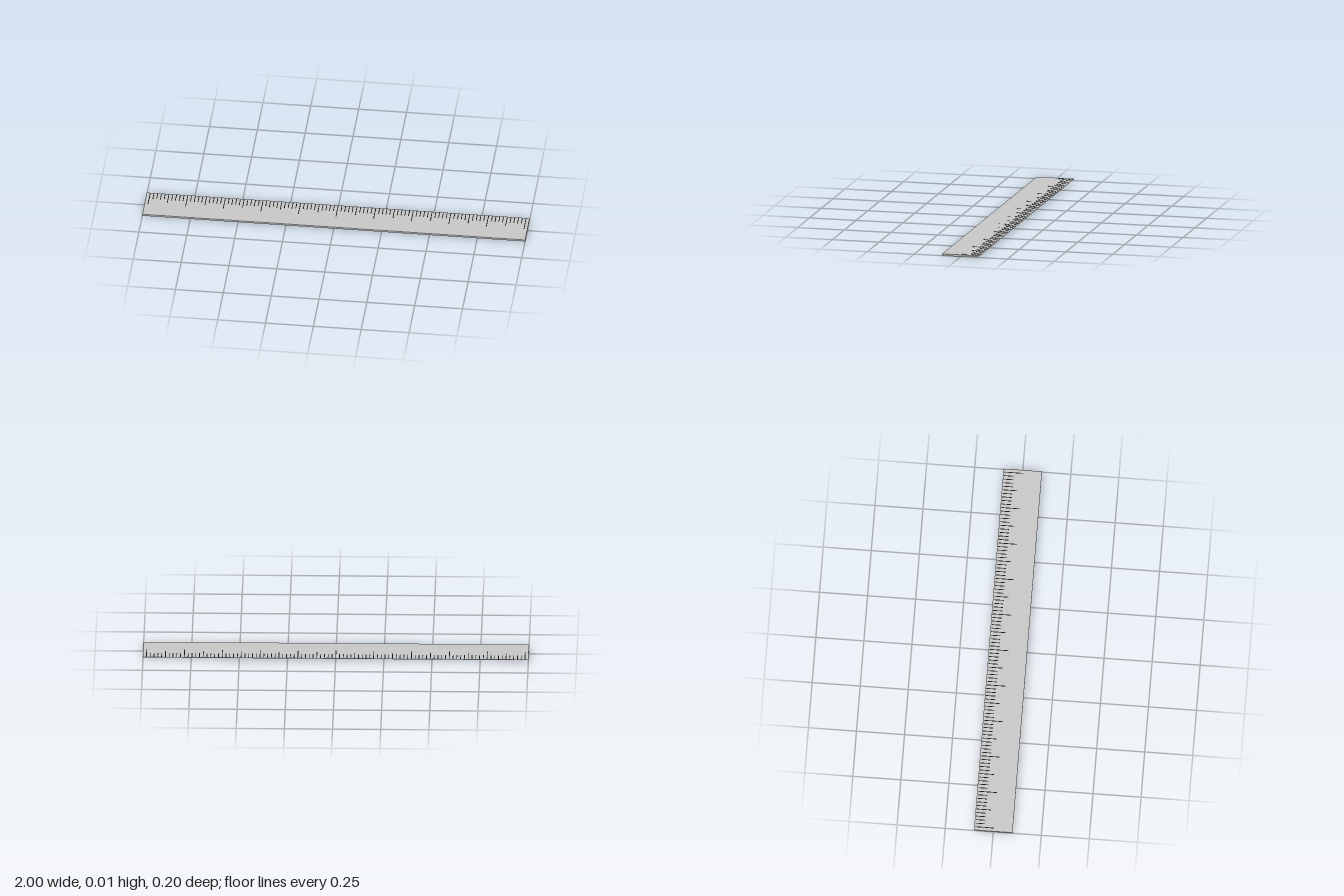
import * as THREE from 'three';
import { toCreasedNormals } from 'three/addons/utils/BufferGeometryUtils.js';

const LENGTH = 2, HALF_DEPTH = 0.1, THICKNESS = 0.0095;

export function createModel() {
  const group = new THREE.Group();
  group.name = 'ruler';

  // Blade: flat top, underside curving up to a thin measuring edge at the back
  const profile = new THREE.Shape();
  profile.moveTo(-HALF_DEPTH, 0);
  profile.lineTo(0.06, 0);
  profile.quadraticCurveTo(0.083, 0.001, HALF_DEPTH, 0.0075);
  profile.lineTo(HALF_DEPTH, THICKNESS);
  profile.lineTo(-HALF_DEPTH, THICKNESS);
  profile.closePath();
  const bladeGeometry = new THREE.ExtrudeGeometry(profile, { depth: LENGTH, bevelEnabled: false, curveSegments: 10 });
  bladeGeometry.translate(0, 0, -LENGTH / 2).rotateY(Math.PI / 2);
  const blade = new THREE.Mesh(
    toCreasedNormals(bladeGeometry, 0.5),
    new THREE.MeshStandardMaterial({ color: 0xcccccc })
  );
  blade.name = 'blade';
  group.add(blade);

  // Scale: 101 marks, longer at every fifth and tenth
  const marks = new THREE.Group();
  marks.name = 'scaleMarks';
  const ink = new THREE.MeshStandardMaterial({ color: 0x111111 });
  const zStart = -0.095, span = 0.982, height = 0.0005;
  for (let i = 0; i <= 100; i++) {
    const kind = i % 10 === 0 ? 'long' : i % 5 === 0 ? 'medium' : 'short';
    const length = { long: 0.097, medium: 0.074, short: 0.05 }[kind];
    const mark = new THREE.Mesh(new THREE.BoxGeometry(0.004, height, length), ink);
    mark.name = kind + 'Mark';
    mark.position.set(-span + (2 * span * i) / 100, THICKNESS + height / 2, zStart + length / 2);
    marks.add(mark);
  }
  group.add(marks);
  return group;
}
